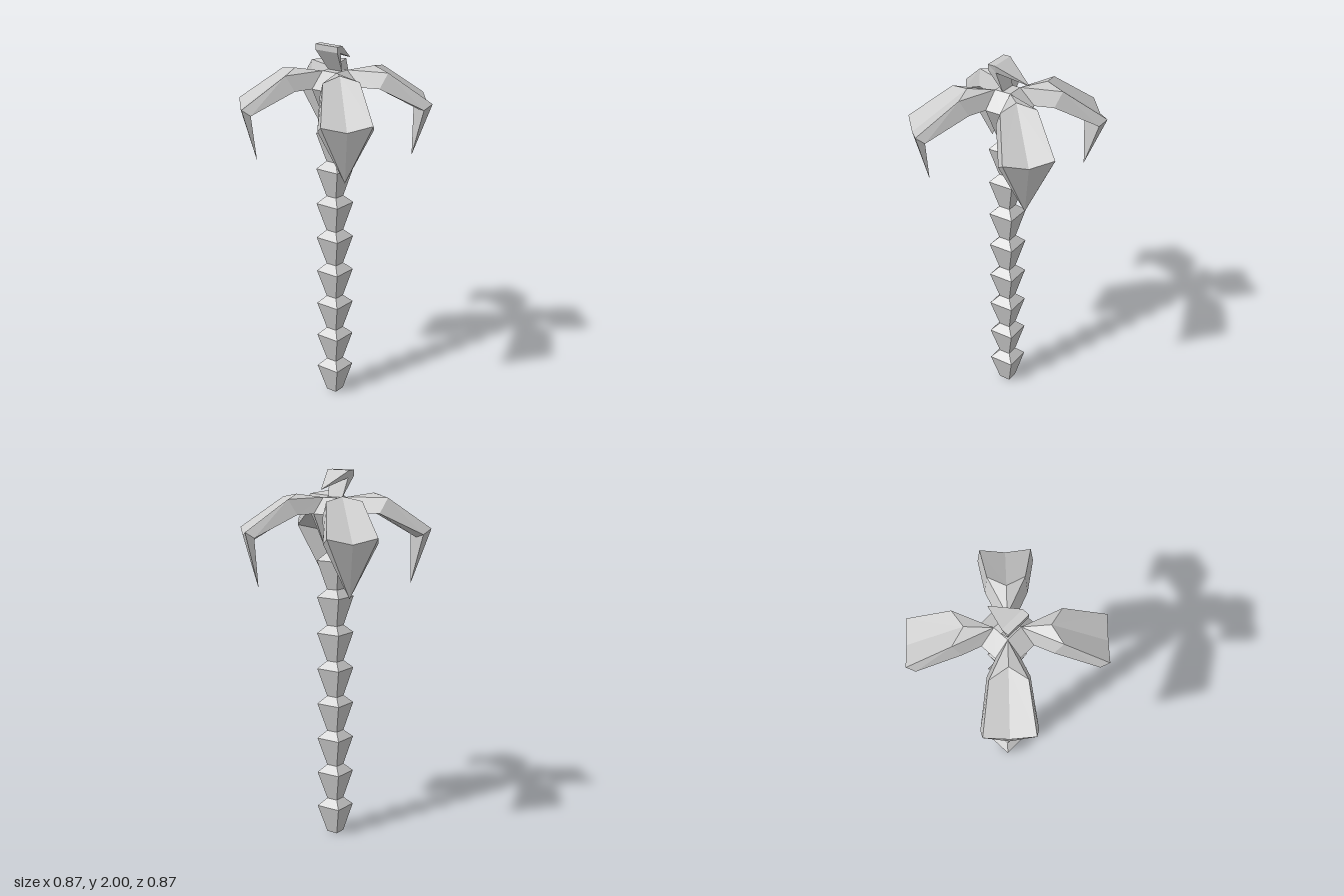
import * as THREE from 'three';

const material = new THREE.MeshStandardMaterial({ color: 0xcccccc, flatShading: true });

// Faceted mesh from corner points and convex faces (counter-clockwise from outside)
function facetMesh(name, points, faces) {
  const positions = [];
  for (const face of faces) {
    for (let i = 1; i < face.length - 1; i++) {
      for (const k of [face[0], face[i], face[i + 1]]) positions.push(...points[k]);
    }
  }
  const geometry = new THREE.BufferGeometry();
  geometry.setAttribute('position', new THREE.Float32BufferAttribute(positions, 3));
  geometry.computeVertexNormals();
  const mesh = new THREE.Mesh(geometry, material);
  mesh.name = name;
  return mesh;
}

// Square trunk of stacked, flaring segments
function makeTrunk() {
  const count = 8, step = 1.57 / count;
  const profile = [new THREE.Vector2(0, 0)];
  const add = (half, y) => profile.push(new THREE.Vector2(half * Math.SQRT2, y));
  add(0.032, 0);
  for (let i = 0; i < count; i++) {
    add(0.07, i * step + 0.155);
    add(0.032, (i + 1) * step);
  }
  const trunk = new THREE.Mesh(new THREE.LatheGeometry(profile, 4, Math.PI / 4), material);
  trunk.name = 'trunk';
  return trunk;
}

// One quarter of the crown: top, sloping shoulder, flaring side and corner
function makeCrownQuarter() {
  const points = [
    [0.045, 1.86, 0.045], [-0.045, 1.86, 0.045],
    [-0.045, 1.78, 0.13], [0.045, 1.78, 0.13],
    [-0.032, 1.57, 0.032], [0.032, 1.57, 0.032],
    [0.13, 1.78, 0.045], [0, 1.86, 0],
  ];
  return facetMesh('crownQuarter', points, [[7, 1, 0], [1, 2, 3, 0], [2, 4, 5, 3], [3, 5, 6]]);
}

// Drooping frond growing along the +x +z diagonal
function makeFrond() {
  const points = [
    [0.045, 1.86, 0.045], // 0 root
    [0.145, 1.88, 0.145], // 1 bend, middle
    [0.12, 1.86, 0.25], [0.25, 1.86, 0.12], // 2, 3 bend, edges
    [0.345, 1.67, 0.345], // 4 end, middle
    [0.255, 1.7, 0.435], [0.435, 1.7, 0.255], // 5, 6 end, edges
    [0.29, 1.39, 0.29], // 7 tip
    [0.045, 1.78, 0.13], [0.13, 1.78, 0.045], // 8, 9 root, underside
    [0.08, 1.78, 0.225], [0.225, 1.78, 0.08], // 10, 11 bend, underside
    [0.215, 1.67, 0.41], [0.41, 1.67, 0.215], // 12, 13 end, underside
    [0.12, 1.8, 0.12], [0.31, 1.64, 0.31], // 14, 15 underside middle
  ];
  return facetMesh('frond', points, [
    [0, 2, 1], [0, 1, 3], [1, 2, 5, 4], [1, 4, 6, 3], [4, 5, 7], [4, 7, 6], // top
    [0, 8, 10, 2], [2, 10, 12, 5], [5, 12, 7], // one side
    [0, 3, 11, 9], [3, 6, 13, 11], [6, 7, 13], // other side
    [8, 9, 14], [8, 14, 10], [9, 11, 14], // underside
    [10, 14, 15, 12], [14, 11, 13, 15], [12, 15, 7], [15, 13, 7],
  ]);
}

// Young hooked leaf on top of the crown
function makeTopLeaf() {
  const side = [
    [-0.07, 2, 0.07], [-0.07, 1.97, 0.07], [0, 1.86, 0.045],
    [-0.03, 1.96, 0.06], [-0.03, 2, 0.07],
  ];
  const points = [...side, ...side.map(([x, y, z]) => [x, y, -z]), [0.13, 1.905, 0]];
  const faces = [[3, 8, 10], [4, 10, 9]];
  for (const face of [[0, 1, 3, 4], [1, 2, 3], [4, 3, 10]]) {
    faces.push(face, face.map((k) => (k === 10 ? 10 : k + 5)).reverse());
  }
  for (const [a, b] of [[0, 1], [1, 2], [2, 3], [4, 0]]) faces.push([a, a + 5, b + 5, b]);
  return facetMesh('topLeaf', points, faces);
}

export function createModel() {
  const model = new THREE.Group();
  model.name = 'palmTree';
  const crown = new THREE.Group();
  crown.name = 'crown';
  const fronds = new THREE.Group();
  fronds.name = 'fronds';
  for (let i = 0; i < 4; i++) {
    const quarter = makeCrownQuarter();
    const frond = makeFrond();
    quarter.rotation.y = frond.rotation.y = (i * Math.PI) / 2;
    crown.add(quarter);
    fronds.add(frond);
  }
  model.add(makeTrunk(), crown, fronds, makeTopLeaf());
  return model;
}
